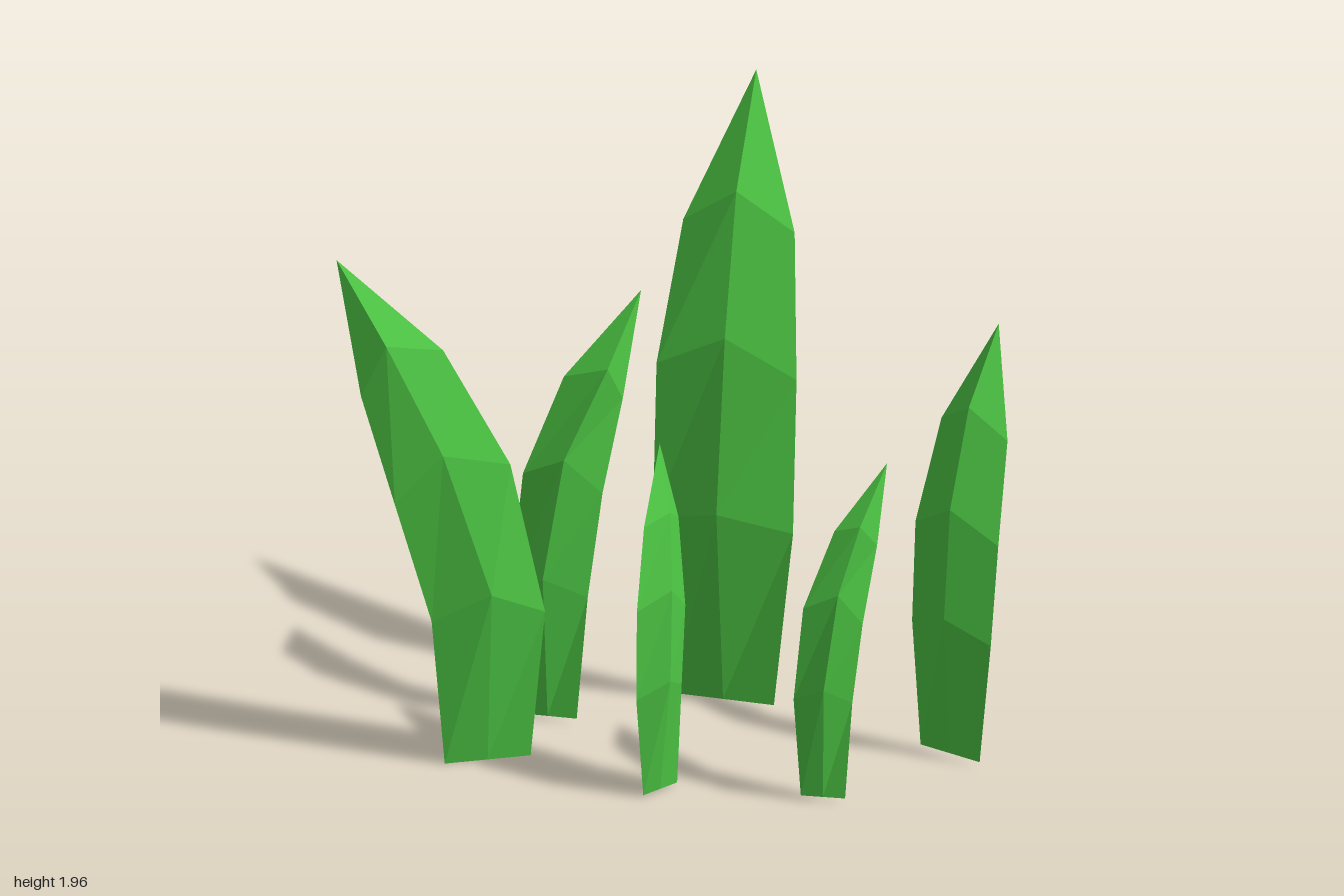
import * as THREE from 'three';

const leafMaterial = new THREE.MeshStandardMaterial({
  color: 0x4cc443, flatShading: true, side: THREE.DoubleSide,
});

// A folded blade: a straight foot (two ends), three cross-sections
// [edge, ridge, edge] going up, and a pointed tip.
function blade(name, [footA, footB], sections, tip) {
  const footMid = footA.map((v, i) => (v + footB[i]) / 2);
  const rows = [[footA, footMid, footB], ...sections];
  const points = [];
  for (let r = 0; r < rows.length; r++) {
    const low = rows[r], high = rows[r + 1];
    for (let s = 0; s < 2; s++) {
      if (high) {
        points.push(low[s], low[s + 1], high[s + 1], low[s], high[s + 1], high[s]);
      } else {
        points.push(low[s], low[s + 1], tip);
      }
    }
  }
  const geometry = new THREE.BufferGeometry();
  geometry.setAttribute('position', new THREE.Float32BufferAttribute(points.flat(), 3));
  geometry.computeVertexNormals();
  const mesh = new THREE.Mesh(geometry, leafMaterial);
  mesh.name = name;
  return mesh;
}

// Cross-section of the upright blade, symmetric about its centre line
const even = (x, half, edgeY, edgeZ, ridgeY, ridgeZ) =>
  [[x - half, edgeY, edgeZ], [x, ridgeY, ridgeZ], [x + half, edgeY, edgeZ]];

export function createModel() {
  const group = new THREE.Group();
  group.name = 'grassTuft';

  group.add(
    // Tall blade at the back, arching backwards
    blade('tallBlade', [[-0.08, 0.015, -0.16], [0.24, 0.015, -0.16]], [
      even(0.08, 0.22, 0.6, -0.16, 0.67, -0.085),
      even(0.08, 0.22, 1.1, -0.2, 1.22, -0.18),
      even(0.08, 0.175, 1.525, -0.34, 1.655, -0.31),
    ], [0.08, 1.96, -0.535]),

    // Broad blade on the right, leaning outwards
    blade('wideRightBlade', [[-0.62, 0, 0.465], [-0.385, 0, 0.34]], [
      [[-0.655, 0.485, 0.487], [-0.475, 0.58, 0.455], [-0.345, 0.48, 0.32]],
      [[-0.767, 0.87, 0.5], [-0.628, 1.03, 0.455], [-0.45, 0.97, 0.335]],
      [[-0.89, 1.19, 0.44], [-0.815, 1.36, 0.425], [-0.665, 1.32, 0.322]],
    ], [-1, 1.58, 0.322]),

    // Slim blade behind it, leaning inwards
    blade('backRightBlade', [[-0.49, 0.015, 0.1], [-0.31, 0.015, 0.09]], [
      [[-0.52, 0.41, 0.09], [-0.4, 0.5, 0.15], [-0.28, 0.42, 0.073]],
      [[-0.49, 0.8, 0.05], [-0.35, 0.88, 0.09], [-0.24, 0.765, 0.05]],
      [[-0.385, 1.1, -0.035], [-0.24, 1.155, -0.008], [-0.2, 1.05, -0.035]],
    ], [-0.18, 1.355, -0.17]),

    // Small blade in front, turned sideways
    blade('smallFrontBlade', [[0.02, 0.005, 0.523], [0.095, 0.005, 0.41]], [
      [[0.003, 0.33, 0.54], [0.095, 0.38, 0.485], [0.105, 0.33, 0.395]],
      [[-0.005, 0.61, 0.505], [0.085, 0.66, 0.43], [0.104, 0.575, 0.35]],
      [[-0.012, 0.845, 0.4], [0.05, 0.87, 0.33], [0.06, 0.83, 0.27]],
    ], [-0.015, 1.04, 0.212]),

    // Small blade on the left
    blade('smallLeftBlade', [[0.485, 0.015, 0.415], [0.62, 0.015, 0.4]], [
      [[0.462, 0.335, 0.414], [0.564, 0.39, 0.441], [0.637, 0.33, 0.38]],
      [[0.484, 0.63, 0.385], [0.595, 0.69, 0.39], [0.664, 0.59, 0.36]],
      [[0.558, 0.86, 0.298], [0.645, 0.895, 0.32], [0.687, 0.82, 0.28]],
    ], [0.69, 1.05, 0.178]),

    // Outer blade on the left, leaning backwards
    blade('outerLeftBlade', [[0.74, 0.015, -0.02], [0.945, 0.015, 0.05]], [
      [[0.705, 0.415, -0.05], [0.835, 0.485, 0.057], [0.98, 0.41, 0.05]],
      [[0.71, 0.74, -0.07], [0.845, 0.84, 0.025], [0.998, 0.74, 0.03]],
      [[0.77, 1.06, -0.147], [0.875, 1.14, -0.08], [1, 1.05, -0.067]],
    ], [0.925, 1.355, -0.237]),
  );
  return group;
}
